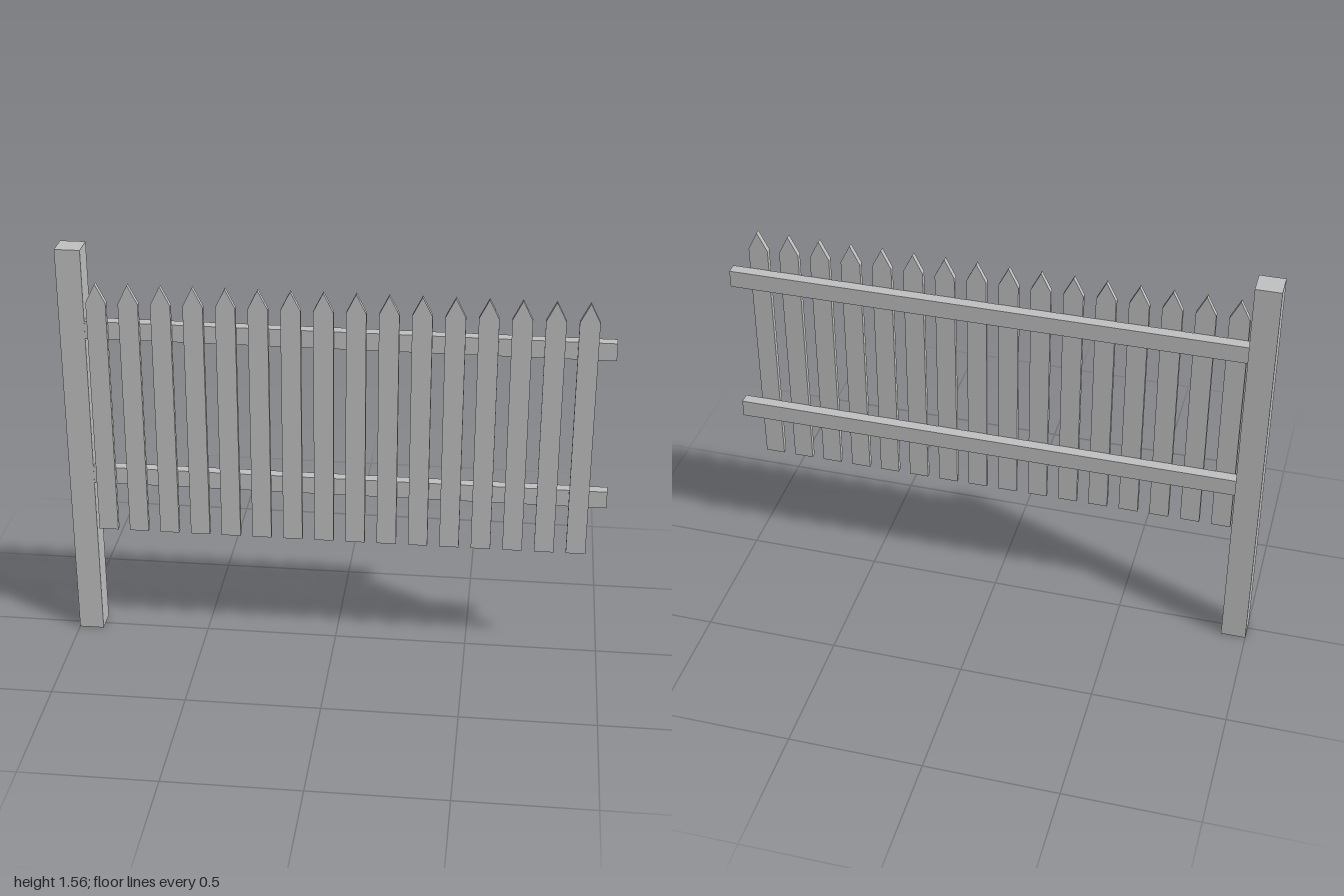
import * as THREE from 'three';

export function createModel() {
  const group = new THREE.Group();
  group.name = 'picketFence';
  const paint = new THREE.MeshStandardMaterial({ color: 0xc0c0c0 });
  paint.name = 'fenceGrey';

  // Box from its lower and upper limits on each axis
  function addBox(name, x0, x1, y0, y1, z0, z1) {
    const mesh = new THREE.Mesh(new THREE.BoxGeometry(x1 - x0, y1 - y0, z1 - z0), paint);
    mesh.position.set((x0 + x1) / 2, (y0 + y1) / 2, (z0 + z1) / 2);
    mesh.name = name;
    group.add(mesh);
  }

  // Square post at the right end
  addBox('post', -1, -0.907, 0, 1.56, -0.056, 0.037);

  // Two horizontal rails, flush with the front of the post
  addBox('lowerRail', -0.907, 1, 0.637, 0.703, -0.005, 0.036);
  addBox('upperRail', -0.907, 1, 1.223, 1.289, -0.005, 0.036);

  // Pointed pickets, fixed to the front of the rails
  const half = 0.036, bottom = 0.452, shoulder = 1.37, tip = 1.442;
  const outline = new THREE.Shape([
    new THREE.Vector2(-half, bottom),
    new THREE.Vector2(half, bottom),
    new THREE.Vector2(half, shoulder),
    new THREE.Vector2(0, tip),
    new THREE.Vector2(-half, shoulder),
  ]);
  const picketGeometry = new THREE.ExtrudeGeometry(outline, { depth: 0.02, bevelEnabled: false });
  const count = 16, spacing = 0.117;
  for (let i = 0; i < count; i++) {
    const picket = new THREE.Mesh(picketGeometry, paint);
    picket.name = `picket${i + 1}`;
    picket.position.set(-0.857 + i * spacing, 0, 0.036);
    group.add(picket);
  }

  return group;
}
